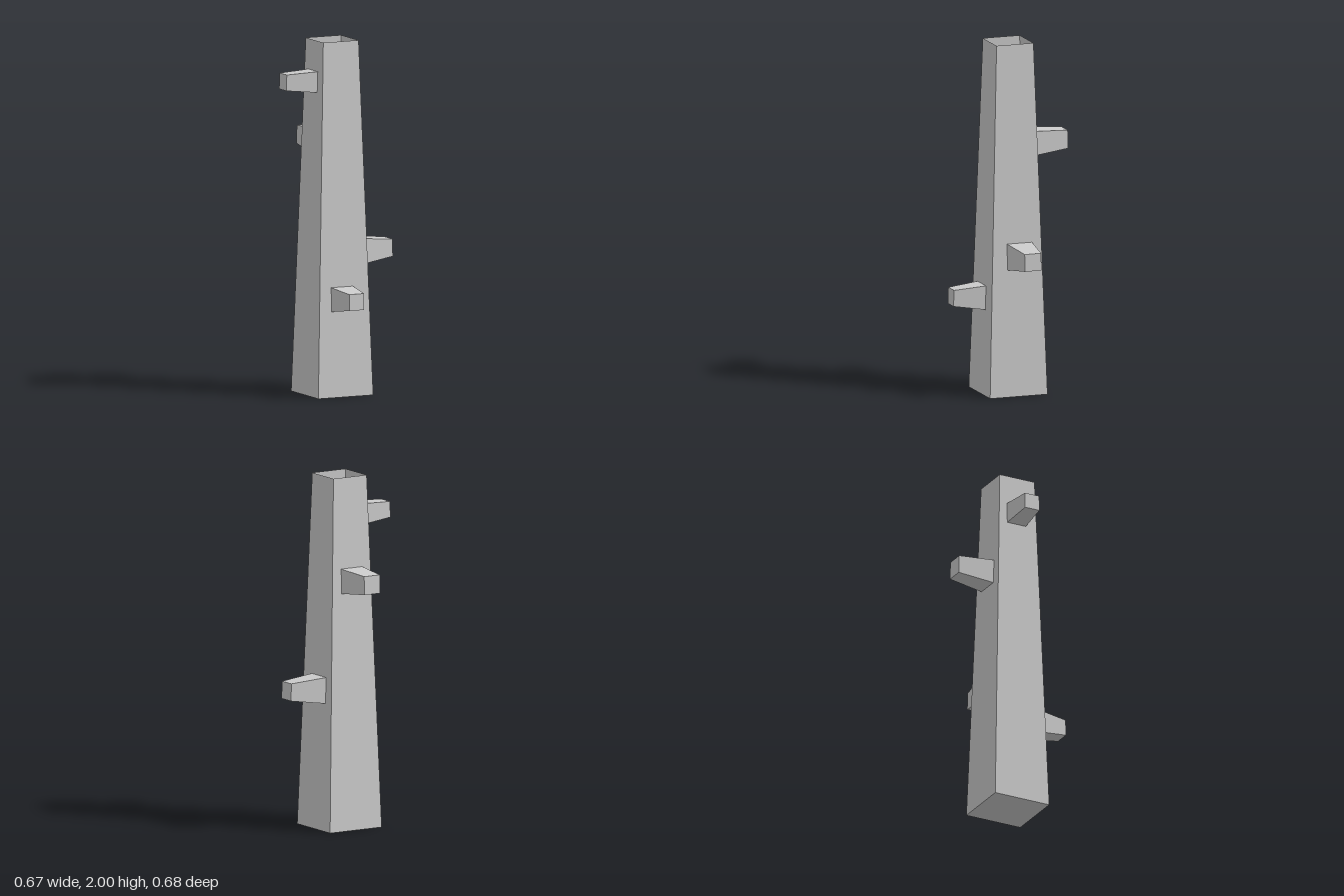
import * as THREE from 'three';

const HEIGHT = 2, BASE_HALF = 0.171, TOP_HALF = 0.11;
const SLOPE = (BASE_HALF - TOP_HALF) / HEIGHT;
const wallAt = (y) => BASE_HALF - SLOPE * y;

// Unit box whose corners are moved by a rule; one face may be left out
function shapedBox(rule, openFace) {
  const geo = new THREE.BoxGeometry(1, 1, 1);
  const pos = geo.attributes.position;
  for (let i = 0; i < pos.count; i++) {
    pos.setXYZ(i, ...rule(pos.getX(i) * 2, pos.getY(i) * 2, pos.getZ(i) * 2));
  }
  const index = Array.from(geo.index.array);
  index.splice(openFace * 6, 6);
  geo.setIndex(index);
  geo.clearGroups();
  geo.computeVertexNormals();
  return geo;
}

// Tapered stub standing square on the sloping wall, pointing along +z
function stubGeometry({ side, y, baseHalf, tipHalf, reach }) {
  const rise = (reach - wallAt(y)) * SLOPE;
  return shapedBox((sx, sy, sz) => {
    const tip = sz > 0;
    const half = tip ? tipHalf : baseHalf;
    const py = y + sy * half + (tip ? rise : 0);
    const pz = tip ? reach - 0.0015 * sy : wallAt(py);
    return [side + sx * half, py, pz];
  }, 5);
}

export function createModel() {
  const model = new THREE.Group();
  model.name = 'branchedTrunk';
  const bark = new THREE.MeshStandardMaterial({ color: 0xcccccc });
  bark.name = 'grey';
  bark.side = THREE.DoubleSide;

  const add = (name, geometry, turn = 0) => {
    const mesh = new THREE.Mesh(geometry, bark);
    mesh.name = name;
    mesh.rotation.y = turn;
    mesh.position.x = -0.029;
    model.add(mesh);
  };

  // Hollow tapering trunk, closed below and open on top
  add('trunk', shapedBox((sx, sy, sz) => {
    const y = sy > 0 ? HEIGHT : 0;
    return [sx * wallAt(y), y, sz * wallAt(y)];
  }, 2));

  // One stub on each side, at its own height
  const stubs = [
    { name: 'frontBranch', turn: 0, side: -0.014, y: 0.552, baseHalf: 0.068, tipHalf: 0.046, reach: 0.336 },
    { name: 'leftBranch', turn: Math.PI / 2, side: 0.014, y: 0.796, baseHalf: 0.074, tipHalf: 0.049, reach: 0.36 },
    { name: 'backBranch', turn: Math.PI, side: 0.001, y: 1.415, baseHalf: 0.07, tipHalf: 0.052, reach: 0.338 },
    { name: 'rightBranch', turn: -Math.PI / 2, side: -0.008, y: 1.77, baseHalf: 0.059, tipHalf: 0.045, reach: 0.303 },
  ];
  for (const stub of stubs) add(stub.name, stubGeometry(stub), stub.turn);

  return model;
}
